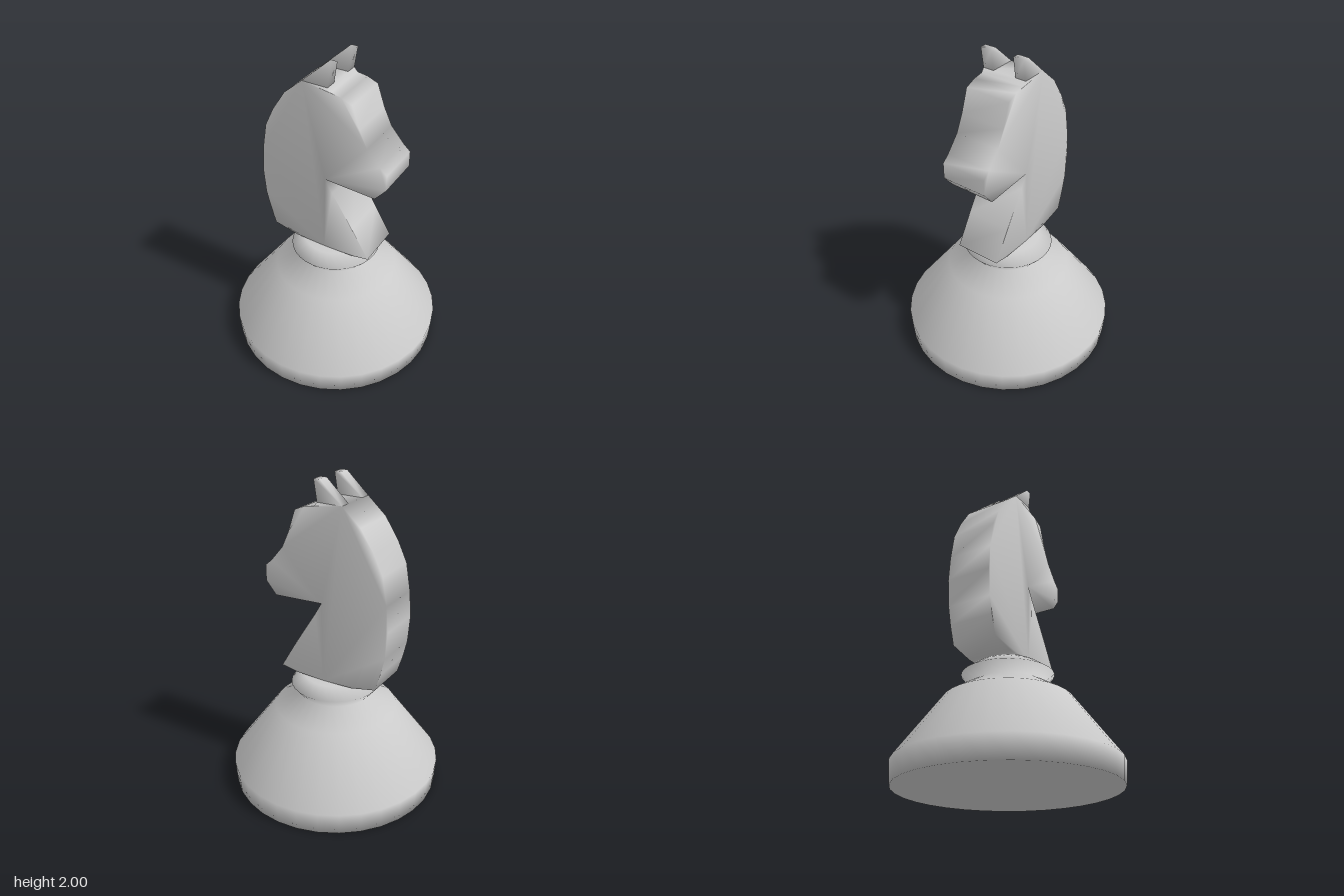
import * as THREE from 'three';
import { mergeVertices } from 'three/addons/utils/BufferGeometryUtils.js';

const material = new THREE.MeshStandardMaterial({ color: 0xcccccc });

function addMesh(group, geometry, name) {
  const mesh = new THREE.Mesh(geometry, material);
  mesh.name = name;
  group.add(mesh);
}

// Flat outline extruded along z between z0 and z1, with normals shared across its edges
function slab(points, z0, z1) {
  const shape = new THREE.Shape(points.map(([x, y]) => new THREE.Vector2(x, y)));
  let geometry = new THREE.ExtrudeGeometry(shape, { depth: z1 - z0, bevelEnabled: false });
  geometry.translate(0, 0, z0);
  geometry.deleteAttribute('uv');
  geometry.deleteAttribute('normal');
  geometry = mergeVertices(geometry, 1e-4);
  geometry.computeVertexNormals();
  return geometry;
}

export function createModel() {
  const group = new THREE.Group();

  // Turned base: foot, sloping skirt, shoulder, neck and collar
  const profile = [
    [0, 0], [0.665, 0], [0.675, 0.14], [0.39, 0.525], [0.23, 0.62],
    [0.283, 0.685], [0.2, 0.742], [0, 0.742],
  ].map(([r, y]) => new THREE.Vector2(r, y));
  addMesh(group, new THREE.LatheGeometry(profile, 32), 'base');

  // Horse head, cut level between the ears
  const head = [
    [-0.365, 0.785], [-0.2, 0.75], [0, 0.745], [0.2, 0.75], [0.313, 0.77],
    [0.2, 0.96], [0.06, 1.18], [0.012, 1.262],                  // chest and throat
    [0.343, 1.247], [0.413, 1.33], [0.413, 1.43], [0.367, 1.47], // jaw and muzzle
    [0.285, 1.565], [0.235, 1.67], [0.187, 1.808],               // face
    [0.12, 1.835], [0.055, 1.845], [0.034, 1.87],                // brow
    [-0.131, 1.87], [-0.25, 1.765], [-0.335, 1.635],             // crest
    [-0.395, 1.51], [-0.425, 1.34], [-0.438, 1.18], [-0.425, 1.01], [-0.4, 0.9],
  ];
  addMesh(group, slab(head, -0.145, 0.145), 'head');

  // Two ears continuing the crest on either side
  const ear = [[-0.131, 1.87], [0.034, 1.87], [0.055, 2], [0.012, 2]];
  addMesh(group, slab(ear, 0.075, 0.145), 'leftEar');
  addMesh(group, slab(ear, -0.145, -0.075), 'rightEar');

  return group;
}
